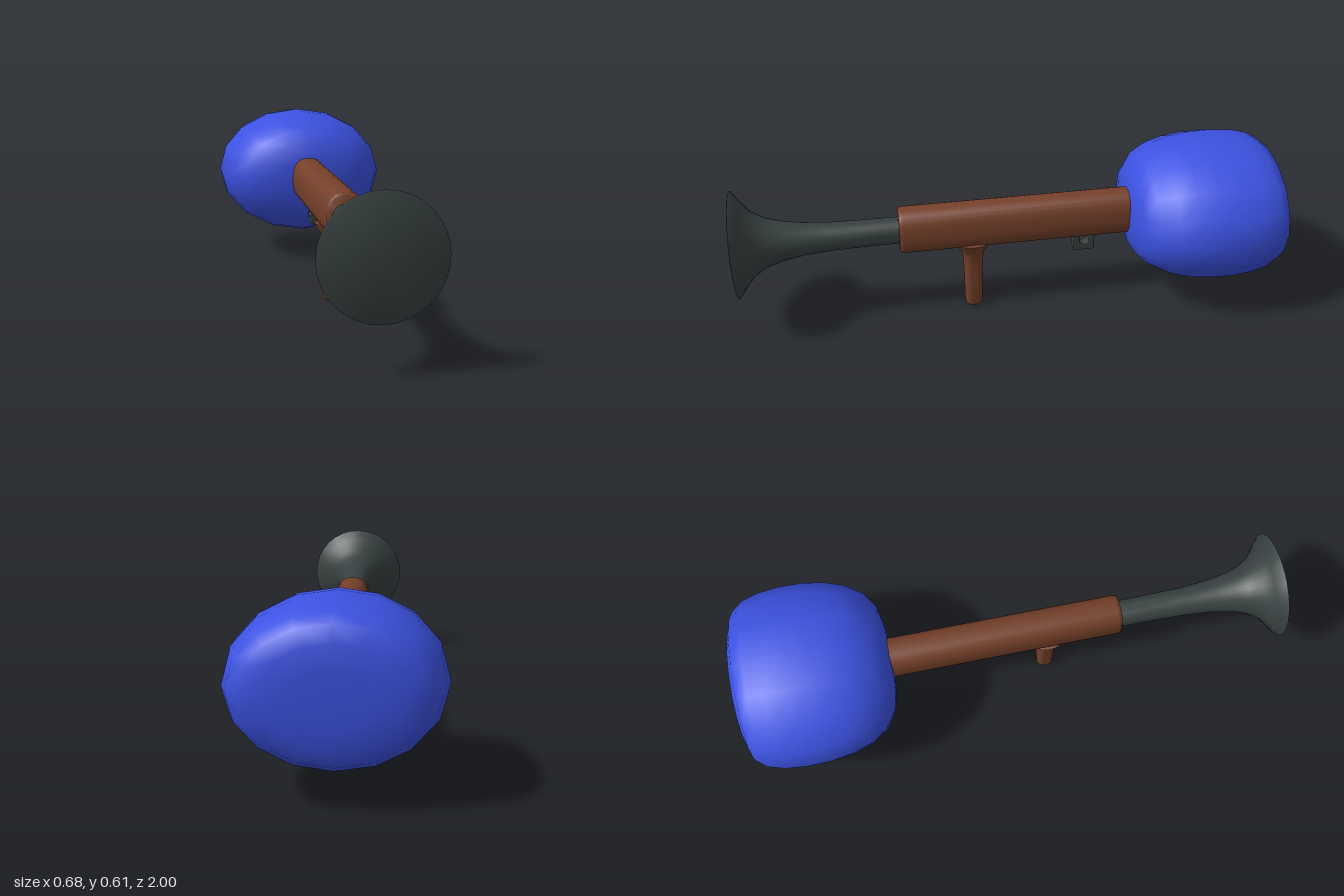
import * as THREE from 'three';
import { mergeVertices, toCreasedNormals } from 'three/addons/utils/BufferGeometryUtils.js';

const AXIS_Y = 0.353; // height of the long axis

// Lathe of [radius, position] pairs. Power above 2 squares off the cross-section.
function turned(profile, sides, sx = 1, sz = 1, power = 2, crease = 0) {
  let g = new THREE.LatheGeometry(profile.map(([r, p]) => new THREE.Vector2(r, p)), sides);
  const pos = g.attributes.position;
  for (let i = 0; i < pos.count; i++) {
    const x = pos.getX(i), z = pos.getZ(i), r = Math.hypot(x, z);
    let k = 1;
    if (r > 1e-6) k = 1 / Math.pow(Math.pow(Math.abs(x / r), power) + Math.pow(Math.abs(z / r), power), 1 / power);
    pos.setXYZ(i, x * k * sx, pos.getY(i), z * k * sz);
  }
  g.deleteAttribute('uv');
  g.deleteAttribute('normal');
  g = mergeVertices(g, 1e-5);
  g.computeVertexNormals();
  return crease ? toCreasedNormals(g, crease) : g;
}

export function createModel() {
  const group = new THREE.Group();
  const mat = (name, color) => {
    const m = new THREE.MeshStandardMaterial({ color });
    m.name = name;
    return m;
  };
  const blue = mat('blue', 0x3c52e2);
  const brown = mat('brown', 0x75402a);
  const iron = mat('dark grey', 0x374040);

  const add = (name, geometry, material) => {
    const m = new THREE.Mesh(geometry, material);
    m.name = name;
    group.add(m);
    return m;
  };
  // Lays a turned part along z on the main axis
  const along = (g) => g.rotateX(Math.PI / 2).translate(0, AXIS_Y, 0);

  // Rounded oval bulb at the rear
  add('bulb', along(turned([
    [0, -1], [0.35, -0.999], [0.62, -0.993], [0.82, -0.972], [0.92, -0.93], [0.975, -0.87],
    [1, -0.79], [0.995, -0.71], [0.96, -0.63], [0.89, -0.56], [0.76, -0.495],
    [0.58, -0.455], [0.32, -0.438], [0, -0.435],
  ], 16, 0.341, 0.258)), blue);

  // Stock with softened ends
  add('stock', along(turned([
    [0, -0.55], [1, -0.55], [1, 0.4], [0.97, 0.411], [0.9, 0.415], [0, 0.415],
  ], 32, 0.065, 0.086, 2.6, 0.8)), brown);

  // Flared barrel closed by a flat disc
  add('barrel', along(turned([
    [0, 0.38], [0.049, 0.38], [0.049, 0.5], [0.052, 0.66], [0.06, 0.76], [0.074, 0.84],
    [0.09, 0.89], [0.118, 0.937], [0.155, 0.967], [0.192, 0.995], [0.194, 0.998],
    [0.19, 1], [0, 1],
  ], 32, 1, 1, 2, 0.9)), iron);

  // Grip that flares where it meets the stock
  const grip = turned([
    [0, 0], [0.024, 0.001], [0.03, 0.005], [0.033, 0.016], [0.034, 0.1], [0.036, 0.18],
    [0.039, 0.225], [0.046, 0.252], [0.058, 0.268], [0.064, 0.285], [0, 0.3],
  ], 24, 1, 1, 2.4, 1.0);
  add('grip', grip.translate(0, 0, 0.145), brown);

  // Trigger loop: a rounded plate with a U-shaped opening
  const plate = new THREE.Shape();
  plate.moveTo(-0.036, 0.29);
  plate.lineTo(-0.036, 0.212);
  plate.quadraticCurveTo(-0.036, 0.206, -0.03, 0.206);
  plate.lineTo(0.03, 0.206);
  plate.quadraticCurveTo(0.036, 0.206, 0.036, 0.212);
  plate.lineTo(0.036, 0.29);
  const hole = new THREE.Path();
  hole.moveTo(-0.022, 0.275);
  hole.lineTo(-0.022, 0.245);
  hole.absarc(0, 0.245, 0.022, Math.PI, Math.PI * 2, false);
  hole.lineTo(0.022, 0.275);
  plate.holes.push(hole);
  const loop = new THREE.ExtrudeGeometry(plate, {
    depth: 0.028, bevelEnabled: true, bevelSize: 0.005, bevelThickness: 0.005, bevelSegments: 2, curveSegments: 8,
  });
  loop.translate(0, 0, -0.014).rotateY(Math.PI / 2).translate(0, 0, -0.277);
  add('triggerLoop', loop, iron);

  return group;
}
